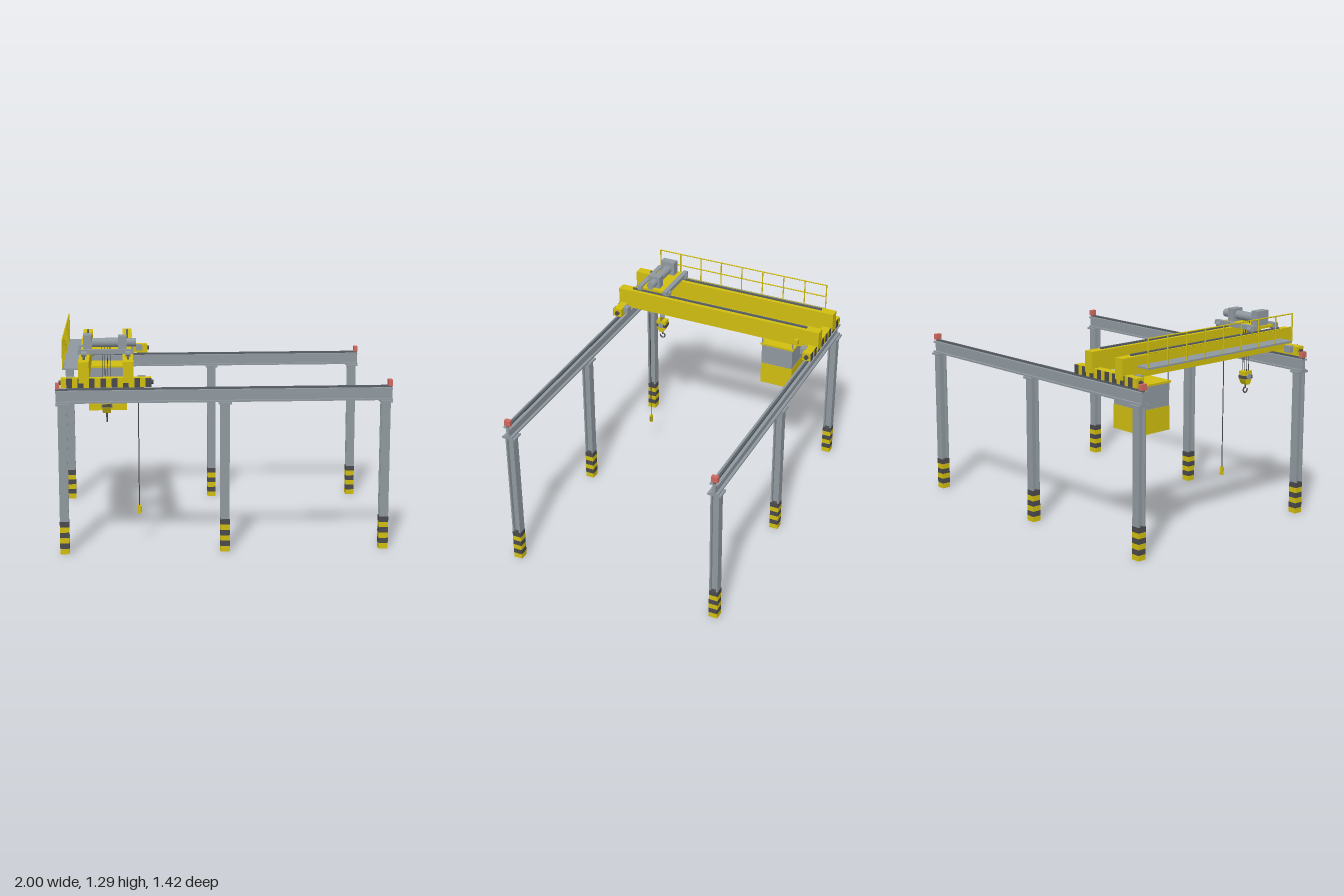
import * as THREE from 'three';

const mat = (name, color) => {
  const m = new THREE.MeshStandardMaterial({ color });
  m.name = name;
  return m;
};

export function createModel() {
  const yellow = mat('safety yellow', 0xd0bd10);
  const steel = mat('steel grey', 0x8f989f);
  const dark = mat('dark stripe', 0x4a4a4d);
  const railGrey = mat('rail grey', 0x596066);
  const red = mat('stop red', 0xd0695f);

  const model = new THREE.Group();
  model.name = 'bridgeCrane';
  const group = (name) => {
    const g = new THREE.Group();
    g.name = name;
    model.add(g);
    return g;
  };
  const add = (parent, name, geo, material, x = 0, y = 0, z = 0) => {
    const m = new THREE.Mesh(geo, material);
    m.name = name;
    m.position.set(x, y, z);
    parent.add(m);
    return m;
  };
  // box given by its min and max on each axis
  const box = (parent, name, material, x0, x1, y0, y1, z0, z1) =>
    add(parent, name, new THREE.BoxGeometry(x1 - x0, y1 - y0, z1 - z0), material,
      (x0 + x1) / 2, (y0 + y1) / 2, (z0 + z1) / 2);
  // cylinder along a chosen axis
  const rod = (parent, name, material, axis, r, len, x, y, z, sides = 20) => {
    const g = new THREE.CylinderGeometry(r, r, len, sides);
    if (axis === 'x') g.rotateZ(Math.PI / 2);
    if (axis === 'z') g.rotateX(Math.PI / 2);
    return add(parent, name, g, material, x, y, z);
  };

  // I-shaped outline, w wide and h high, centred
  const iShape = (w, h, flange, web) => {
    const a = w / 2, b = h / 2, c = b - flange, d = web / 2;
    return new THREE.Shape([
      [-a, -b], [a, -b], [a, -c], [d, -c], [d, c], [a, c],
      [a, b], [-a, b], [-a, c], [-d, c], [-d, -c], [-a, -c],
    ].map(([x, y]) => new THREE.Vector2(x, y)));
  };
  const beamGeo = new THREE.ExtrudeGeometry(iShape(0.054, 0.075, 0.01, 0.02), { depth: 1.996, bevelEnabled: false })
    .translate(0, 0, -0.998).rotateY(Math.PI / 2);
  const columnGeo = new THREE.ExtrudeGeometry(iShape(0.054, 0.054, 0.009, 0.012), { depth: 0.705, bevelEnabled: false })
    .rotateX(-Math.PI / 2);

  // Runways: columns, beams, rails and end stops
  for (const s of [-1, 1]) {
    const runway = group(s > 0 ? 'frontRunway' : 'backRunway');
    const z = s * 0.67;
    for (const x of [-0.96, 0, 0.96]) {
      add(runway, 'column', columnGeo, steel, x, 0.2, z);
      box(runway, 'capPlate', steel, x - 0.038, x + 0.038, 0.904, 0.915, z - 0.042, z + 0.042);
      for (let i = 0; i < 6; i++) {
        box(runway, 'columnBand', i % 2 ? dark : yellow, x - 0.028, x + 0.028,
          i / 30, (i + 1) / 30, z - 0.028, z + 0.028);
      }
    }
    add(runway, 'runwayBeam', beamGeo, steel, 0, 0.9525, z);
    box(runway, 'runwayRail', railGrey, -0.998, 0.998, 0.99, 1.002, z - 0.007, z + 0.007);
    for (const e of [-1, 1]) {
      box(runway, 'endStop', red, e * 0.986 - 0.013, e * 0.986 + 0.013, 1.0, 1.036, z - 0.02, z + 0.02);
    }

    // End carriage with striped outer face
    const carriage = group(s > 0 ? 'frontCarriage' : 'backCarriage');
    box(carriage, 'carriageBody', yellow, -0.965, -0.435, 1.01, 1.065, z - 0.028, z + 0.028);
    const step = 0.53 / 16;
    for (let i = 1; i < 16; i += 2) {
      const x = -0.965 + i * step;
      const f = z + s * 0.029;
      box(carriage, 'carriageStripe', dark, x, x + step, 1.01, 1.065, f - 0.002, f + 0.002);
    }
    for (const x of [-0.97, -0.43]) rod(carriage, 'bumper', dark, 'x', 0.014, 0.016, x, 1.037, z);
    for (const x of [-0.908, -0.492]) {
      rod(carriage, 'carriageWheel', railGrey, 'z', 0.021, 0.03, x, 1.023, z);
      box(carriage, 'driveMotor', steel, x - 0.023, x + 0.023, 1.027, 1.067,
        s * 0.63 - 0.018, s * 0.63 + 0.018);
    }
  }

  // Twin bridge girders with trolley rails
  const bridge = group('bridge');
  for (const x of [-0.83, -0.57]) {
    box(bridge, 'girder', yellow, x - 0.031, x + 0.031, 1.038, 1.163, -0.708, 0.708);
    box(bridge, 'trolleyRail', railGrey, x - 0.006, x + 0.006, 1.163, 1.174, -0.617, 0.617);
  }
  box(bridge, 'controlBox', yellow, -0.54, -0.512, 1.055, 1.09, -0.577, -0.553);

  // Walkway and handrail
  const walkway = group('walkway');
  box(walkway, 'walkwayFloor', steel, -0.958, -0.86, 1.1, 1.11, -0.6, 0.6);
  for (let i = 0; i <= 8; i++) {
    rod(walkway, 'railPost', yellow, 'y', 0.004, 0.17, -0.955, 1.194, -0.6 + i * 0.15, 8);
  }
  for (const y of [1.195, 1.278]) rod(walkway, 'handrail', yellow, 'z', 0.004, 1.205, -0.955, y, 0, 8);

  // Trolley
  const trolley = group('trolley');
  box(trolley, 'trolleyDeck', yellow, -0.85, -0.55, 1.188, 1.204, 0.37, 0.56);
  for (const z of [0.37, 0.555]) {
    box(trolley, 'trolleyBeam', steel, -0.866, -0.535, 1.187, 1.214, z - 0.015, z + 0.015);
    for (const x of [-0.83, -0.57]) {
      rod(trolley, 'trolleyWheel', steel, 'x', 0.017, 0.03, x, 1.19, z + Math.sign(z - 0.46) * 0.009);
    }
  }

  // Hoist
  const hoist = group('hoist');
  const hz = 0.467;
  box(hoist, 'hoistHousing', steel, -0.834, -0.783, 1.203, 1.294, hz - 0.049, hz + 0.049);
  rod(hoist, 'hoistDrum', steel, 'x', 0.028, 0.16, -0.704, 1.243, hz, 28);
  box(hoist, 'gearbox', steel, -0.627, -0.578, 1.203, 1.284, hz - 0.04, hz + 0.04);
  rod(hoist, 'hoistMotor', steel, 'x', 0.025, 0.058, -0.549, 1.243, hz, 24);

  // Ropes and hook block
  const hook = group('hookBlock');
  for (let i = 0; i < 4; i++) {
    rod(hook, 'rope', dark, 'y', 0.002, 0.37, -0.724 + i * 0.016, 1.05, hz, 6);
  }
  const cheek = new THREE.Shape([[-0.033, 0.9], [-0.033, 0.85], [-0.013, 0.815], [0.013, 0.815], [0.033, 0.85], [0.033, 0.9]]
    .map(([x, y]) => new THREE.Vector2(x, y)));
  const cheekGeo = new THREE.ExtrudeGeometry(cheek, { depth: 0.05, bevelEnabled: false })
    .translate(0, 0, -0.025).rotateY(Math.PI / 2);
  add(hook, 'blockBody', cheekGeo, yellow, -0.7, 0, hz);
  box(hook, 'blockBand', dark, -0.727, -0.673, 0.853, 0.873, hz - 0.034, hz + 0.034);
  rod(hook, 'sheavePin', steel, 'x', 0.018, 0.066, -0.7, 0.866, hz);
  rod(hook, 'hookShank', dark, 'y', 0.006, 0.03, -0.7, 0.805, hz, 10);
  const hookGeo = new THREE.TorusGeometry(0.017, 0.0045, 8, 24, Math.PI * 1.5)
    .rotateZ(Math.PI * 0.85).rotateY(Math.PI / 2);
  add(hook, 'hook', hookGeo, dark, -0.7, 0.779, hz);

  // Hanging pendant control
  const pendant = group('pendant');
  rod(pendant, 'pendantCable', dark, 'y', 0.003, 0.81, -0.51, 0.637, hz, 8);
  box(pendant, 'pendantBox', yellow, -0.52, -0.5, 0.185, 0.236, hz - 0.008, hz + 0.008);
  for (const y of [0.2, 0.212, 0.224]) {
    box(pendant, 'pendantButton', dark, -0.501, -0.498, y - 0.003, y + 0.003, hz - 0.004, hz + 0.004);
  }

  // Operator cabin slung under the girders
  const cabin = group('cabin');
  box(cabin, 'cabinBase', yellow, -0.826, -0.578, 0.68, 0.826, -0.523, -0.307);
  box(cabin, 'cabinWindows', steel, -0.824, -0.58, 0.826, 0.965, -0.521, -0.309);
  box(cabin, 'cabinRoof', yellow, -0.83, -0.574, 0.963, 0.975, -0.529, -0.301);
  for (const x of [-0.815, -0.588]) {
    for (const z of [-0.52, -0.31]) rod(cabin, 'cabinHanger', steel, 'y', 0.005, 0.07, x, 1.006, z, 10);
  }

  return model;
}
